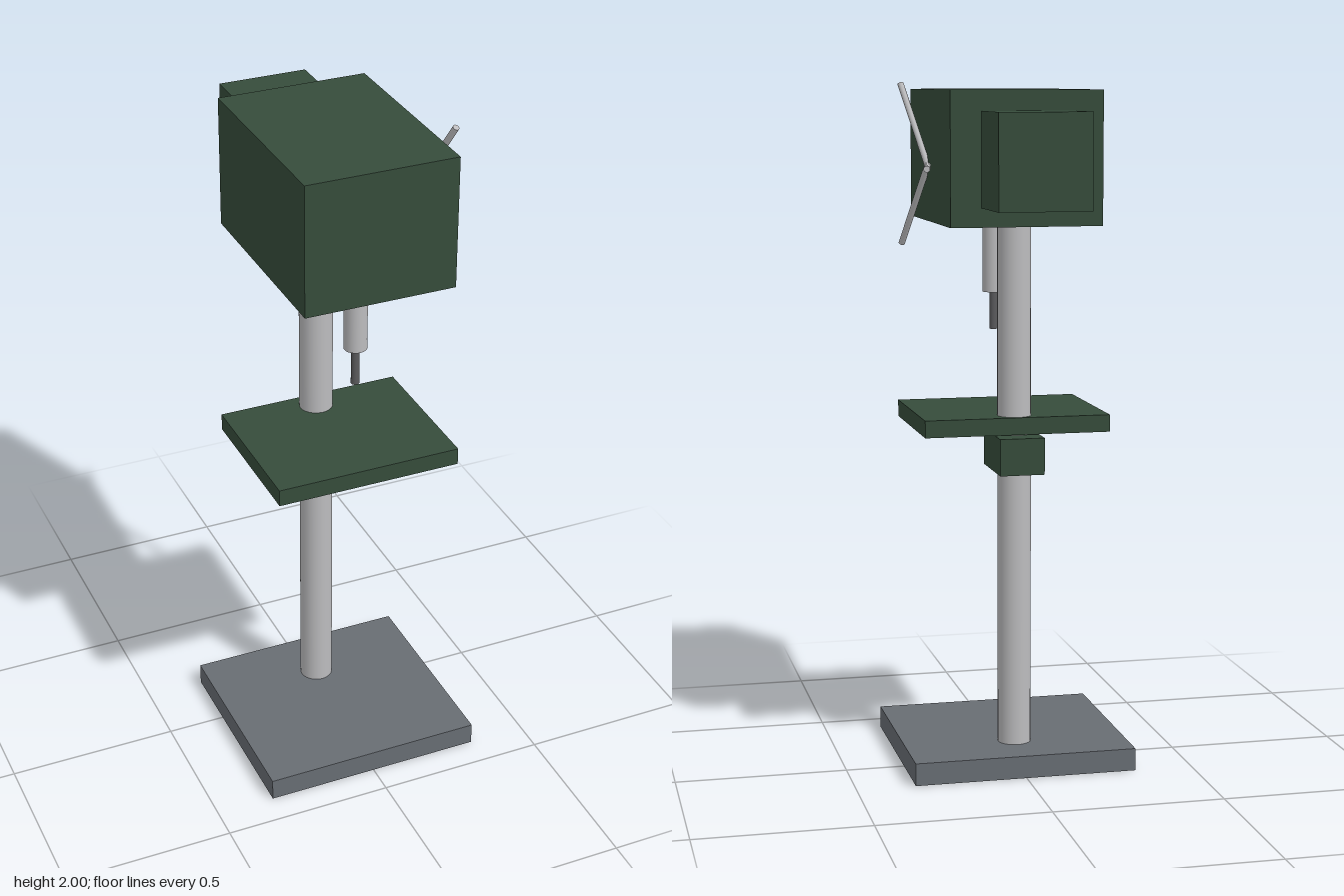
import * as THREE from 'three';

const material = (name, color) => {
  const m = new THREE.MeshStandardMaterial({ color });
  m.name = name;
  return m;
};

export function createModel() {
  const green = material('dark green paint', 0x364c3b);
  const grey = material('cast grey', 0x686d73);
  const steel = material('bright steel', 0xbcbcbe);
  const dark = material('dark steel', 0x5a5a5c);
  const model = new THREE.Group();
  model.name = 'drillPress';

  const add = (name, geometry, mat, x, y, z) => {
    const mesh = new THREE.Mesh(geometry, mat);
    mesh.name = name;
    mesh.position.set(x, y, z);
    model.add(mesh);
    return mesh;
  };
  // Box centred on x, given by its width and its y and z limits
  const box = (name, mat, width, y0, y1, z0, z1) =>
    add(name, new THREE.BoxGeometry(width, y1 - y0, z1 - z0), mat, 0, (y0 + y1) / 2, (z0 + z1) / 2);
  // Upright cylinder on the centre line
  const rod = (name, mat, radius, y0, y1, z) =>
    add(name, new THREE.CylinderGeometry(radius, radius, y1 - y0, 24), mat, 0, (y0 + y1) / 2, z);

  // Stand
  box('base', grey, 0.656, 0, 0.066, -0.192, 0.411);
  rod('column', steel, 0.049, 0.066, 1.61, -0.027);

  // Work table and its bracket
  box('table', green, 0.547, 0.994, 1.044, -0.083, 0.356);
  box('tableBracket', green, 0.131, 0.884, 0.991, -0.135, 0.083);

  // Head and motor
  box('head', green, 0.438, 1.6, 1.98, -0.192, 0.411);
  box('motor', green, 0.263, 1.654, 1.922, -0.411, -0.192);

  // Quill and drill bit
  rod('quill', steel, 0.033, 1.379, 1.61, 0.248);
  rod('drillBit', dark, 0.012, 1.267, 1.38, 0.248);

  // Three feed handle spokes splayed outwards from the head's left side
  const hub = new THREE.Vector3(0.22, 1.761, 0.137);
  const up = new THREE.Vector3(0, 1, 0);
  for (let i = 0; i < 3; i++) {
    const a = Math.PI + (i * Math.PI * 2) / 3;
    const arm = new THREE.Vector3(0.054, 0.271 * Math.sin(a), 0.271 * Math.cos(a));
    const middle = hub.clone().addScaledVector(arm, 0.5);
    const spoke = add('feedSpoke', new THREE.CylinderGeometry(0.0095, 0.0095, arm.length(), 12),
      steel, middle.x, middle.y, middle.z);
    spoke.quaternion.setFromUnitVectors(up, arm.clone().normalize());
  }
  return model;
}
